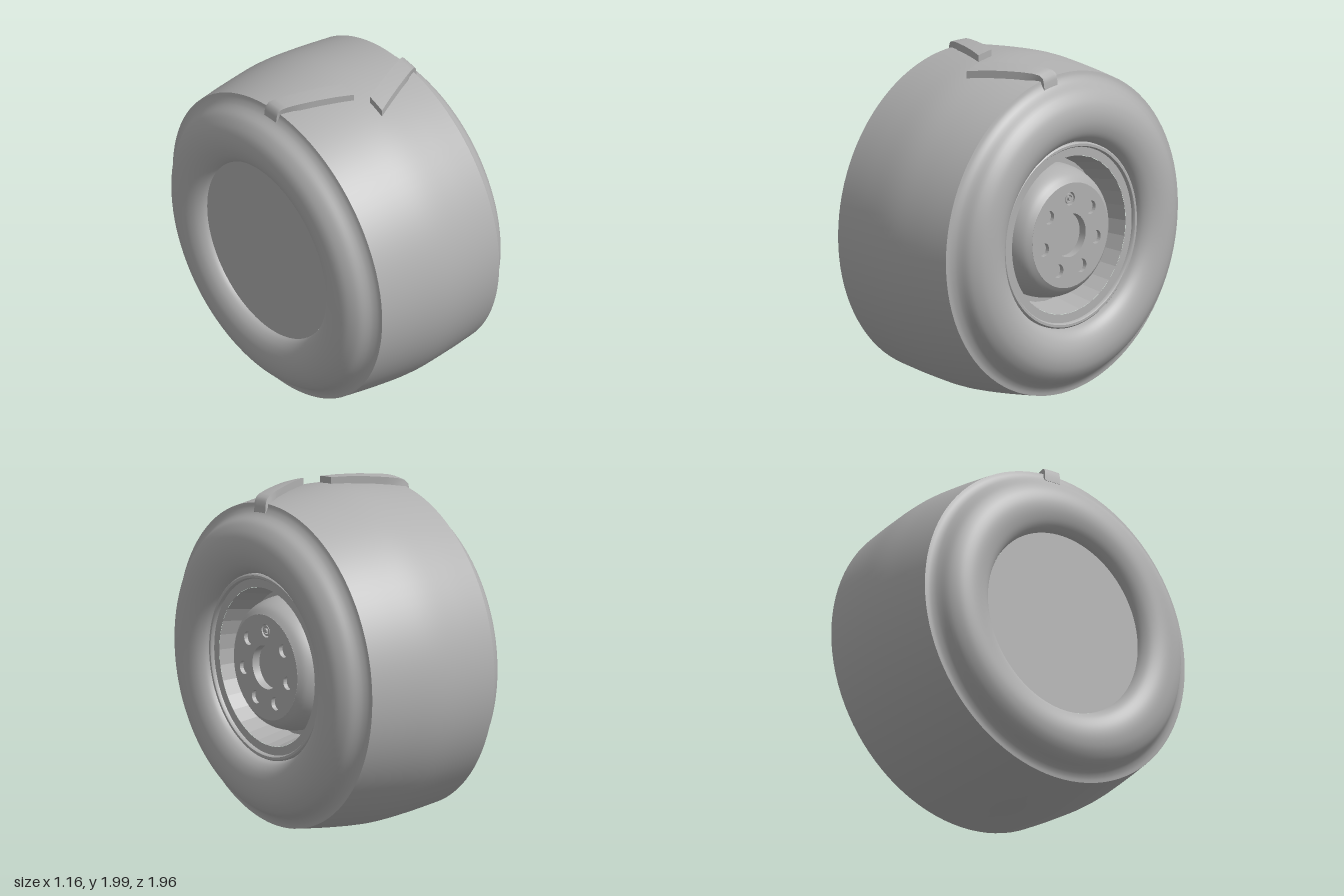
import * as THREE from 'three';
import { toCreasedNormals } from 'three/addons/utils/BufferGeometryUtils.js';

const CY = 0.985; // axle height

export function createModel() {
  const model = new THREE.Group();
  const wheel = new THREE.Group();
  wheel.name = 'wheel';
  wheel.position.y = CY;
  model.add(wheel);
  const grey = new THREE.MeshStandardMaterial({ color: 0xb0b0b0 });
  grey.name = 'grey';

  const add = (name, geometry, parent = wheel) => {
    const mesh = new THREE.Mesh(geometry, grey);
    mesh.name = name;
    parent.add(mesh);
    return mesh;
  };
  // Revolve [radius, x] points about the axle
  const revolve = (pts, segments, crease) => {
    const g = new THREE.LatheGeometry(pts.map(([r, x]) => new THREE.Vector2(r, x)), segments);
    g.rotateZ(-Math.PI / 2);
    return crease ? toCreasedNormals(g, crease) : g;
  };
  const smooth = (pts, n) => new THREE.SplineCurve(pts.map(p => new THREE.Vector2(...p)))
    .getPoints(n).map(p => [p.x, p.y]);
  const flip = pts => pts.map(([r, x]) => [r, -x]).reverse();

  // Tyre: crowned tread with a bulging sidewall on each side
  const sidewall = smooth([[0.94, 0.43], [0.915, 0.437], [0.89, 0.453], [0.871, 0.475], [0.84, 0.521],
    [0.79, 0.558], [0.74, 0.576], [0.69, 0.581], [0.64, 0.574], [0.59, 0.553], [0.555, 0.52], [0.54, 0.48]], 40);
  add('tyreTread', revolve(smooth([[0.94, -0.43], [0.965, -0.22], [0.98, 0], [0.965, 0.22], [0.94, 0.43]], 20), 96));
  add('leftSidewall', revolve(sidewall, 96));
  add('rightSidewall', revolve(flip(sidewall), 96));

  // Closed back of the rim
  add('backPlate', revolve([[0, -0.5], [0.545, -0.5]], 96));

  // Rim: raised bead, flat ledge, tapering barrel and floor
  add('rimBead', revolve([[0.542, 0.47], [0.54, 0.497], [0.532, 0.505], [0.518, 0.505],
    [0.512, 0.497], [0.51, 0.485], [0.46, 0.485]], 96, 0.6));
  add('rimBarrel', revolve([[0.46, 0.485], [0.42, 0.3], [0.38, 0.3]], 32, 0.15));

  // Domed hub
  const FACE = 0.495;
  add('hubDome', revolve(smooth([[0.39, 0.3], [0.385, 0.36], [0.368, 0.42], [0.342, 0.465], [0.305, FACE]], 16), 64));

  // Hub face, drilled for the axle and seven bolts
  const face = new THREE.Shape().absarc(0, 0, 0.306, 0, Math.PI * 2);
  const drill = (x, y, r) => face.holes.push(new THREE.Path().absarc(x, y, r, 0, Math.PI * 2, true));
  drill(0, 0, 0.127);
  const bolts = Array.from({ length: 7 }, (_, i) => {
    const a = Math.PI / 2 + i * Math.PI * 2 / 7;
    return [Math.cos(a) * 0.215, Math.sin(a) * 0.215];
  });
  bolts.forEach(([x, y]) => drill(x, y, 0.039));
  const plate = new THREE.ExtrudeGeometry(face, { depth: 0.05, bevelEnabled: false, curveSegments: 32 });
  plate.rotateY(Math.PI / 2);
  add('hubFace', toCreasedNormals(plate, 0.5)).position.x = FACE - 0.05;

  const disc = (name, r, x, y, z) => {
    add(name, new THREE.CircleGeometry(r, 32).rotateY(Math.PI / 2)).position.set(x, y, z);
  };
  disc('axleHoleFloor', 0.13, FACE - 0.049, 0, 0);
  bolts.forEach(([x, y]) => disc('boltHoleFloor', 0.04, FACE - 0.025, y, -x));

  // Valve seated in the top bolt hole
  const valve = new THREE.Group();
  valve.name = 'valve';
  valve.position.set(FACE - 0.025, 0.215, 0);
  wheel.add(valve);
  add('valveCollar', revolve([[0.03, 0], [0.03, 0.022], [0.02, 0.022], [0.02, 0]], 24, 0.5), valve);
  add('valveStem', revolve([[0.012, 0], [0.012, 0.028], [0, 0.028]], 16, 0.5), valve);

  // Tread lugs: bars bent over the crown and down the shoulder
  const outer = [[0.035, 1.018], [0.13, 1.015], [0.23, 1.007], [0.33, 0.996], [0.395, 0.986],
    [0.428, 0.975], [0.446, 0.955], [0.452, 0.925], [0.455, 0.89]];
  const inner = [[0.035, 0.95], [0.13, 0.95], [0.23, 0.945], [0.33, 0.93], [0.37, 0.92],
    [0.395, 0.91], [0.41, 0.9], [0.415, 0.89], [0.42, 0.875]];
  const lug = (name, side, zNear, zFar) => {
    const n = outer.length - 1;
    const g = new THREE.BoxGeometry(1, 1, 1, n, 1, 6);
    const p = g.attributes.position;
    for (let i = 0; i < p.count; i++) {
      const step = Math.round((side * p.getX(i) + 0.5) * n);
      const [x, r] = (p.getY(i) > 0 ? outer : inner)[step];
      const along = (outer[step][0] - 0.035) / 0.42;
      const z = zNear + (zFar - zNear) * along + p.getZ(i) * 0.107;
      p.setXYZ(i, side * x, Math.sqrt(r * r - z * z), z);
    }
    add(name, toCreasedNormals(g, 0.6));
  };
  lug('leftLug', 1, 0.317, 0.113);
  lug('rightLug', -1, 0.15, -0.035);

  return model;
}
